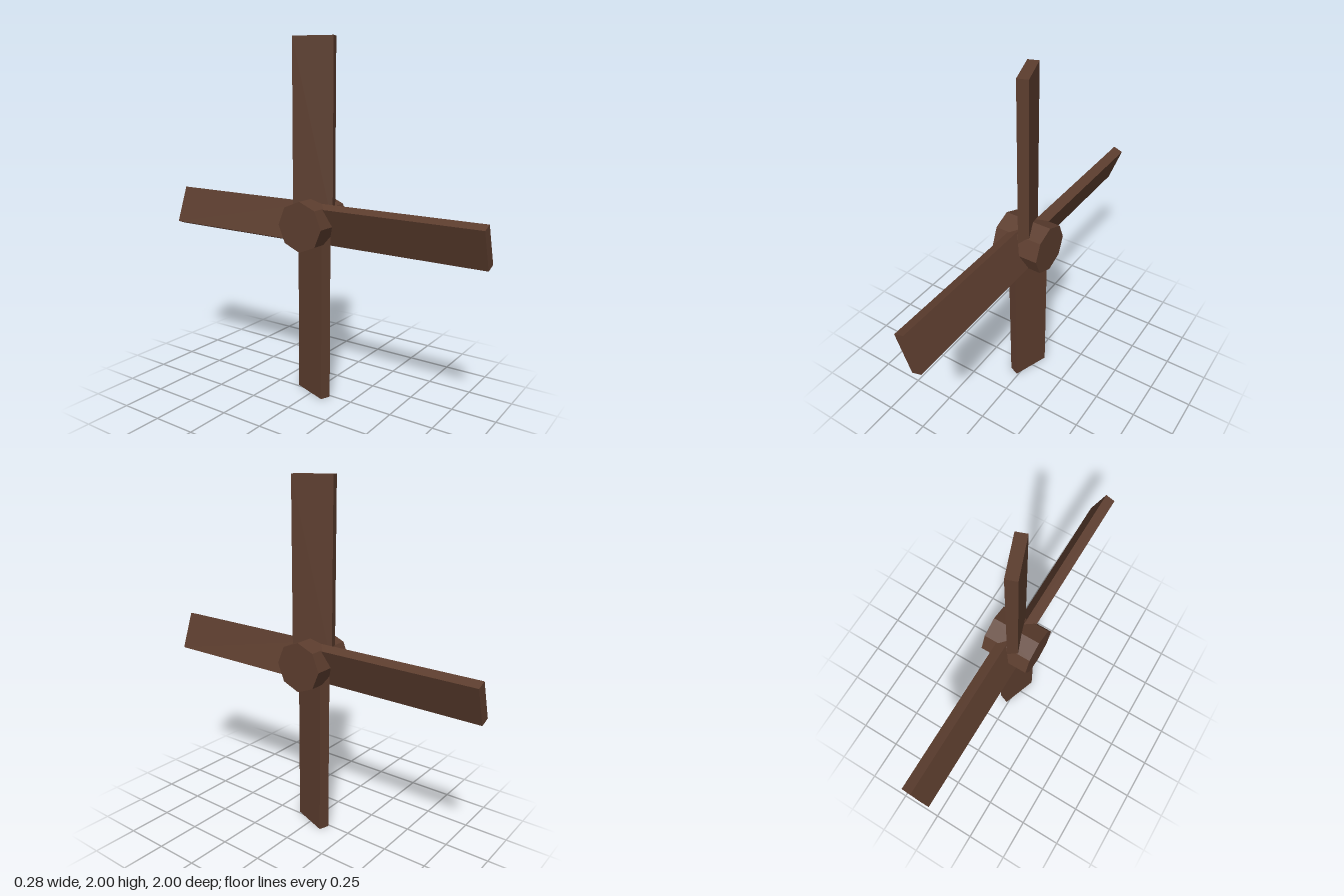
import * as THREE from 'three';

const HUB_RADIUS = 0.14, HUB_LENGTH = 0.28;
const BLADE_WIDTH = 0.224, BLADE_THICKNESS = 0.06, BLADE_LENGTH = 1;
const PITCH = THREE.MathUtils.degToRad(20);

export function createModel() {
  const model = new THREE.Group();
  model.name = 'fan';
  const darkWood = new THREE.MeshStandardMaterial({ color: 0x5c3d2e, flatShading: true });
  darkWood.name = 'darkWood';

  // Rotor, centred one unit above the ground and turning about x
  const rotor = new THREE.Group();
  rotor.name = 'rotor';
  rotor.position.y = 1;
  model.add(rotor);

  // Eight-sided hub lying along x
  const hubShape = new THREE.CylinderGeometry(HUB_RADIUS, HUB_RADIUS, HUB_LENGTH, 8).rotateZ(Math.PI / 2);
  const hub = new THREE.Mesh(hubShape, darkWood);
  hub.name = 'hub';
  rotor.add(hub);

  // Four pitched blades radiating from the hub
  const bladeShape = new THREE.BoxGeometry(BLADE_THICKNESS, BLADE_WIDTH, BLADE_LENGTH)
    .translate(0, 0, BLADE_LENGTH / 2)
    .rotateZ(PITCH);
  ['frontBlade', 'bottomBlade', 'backBlade', 'topBlade'].forEach((name, i) => {
    const blade = new THREE.Mesh(bladeShape, darkWood);
    blade.name = name;
    blade.rotation.x = i * Math.PI / 2;
    rotor.add(blade);
  });

  return model;
}
